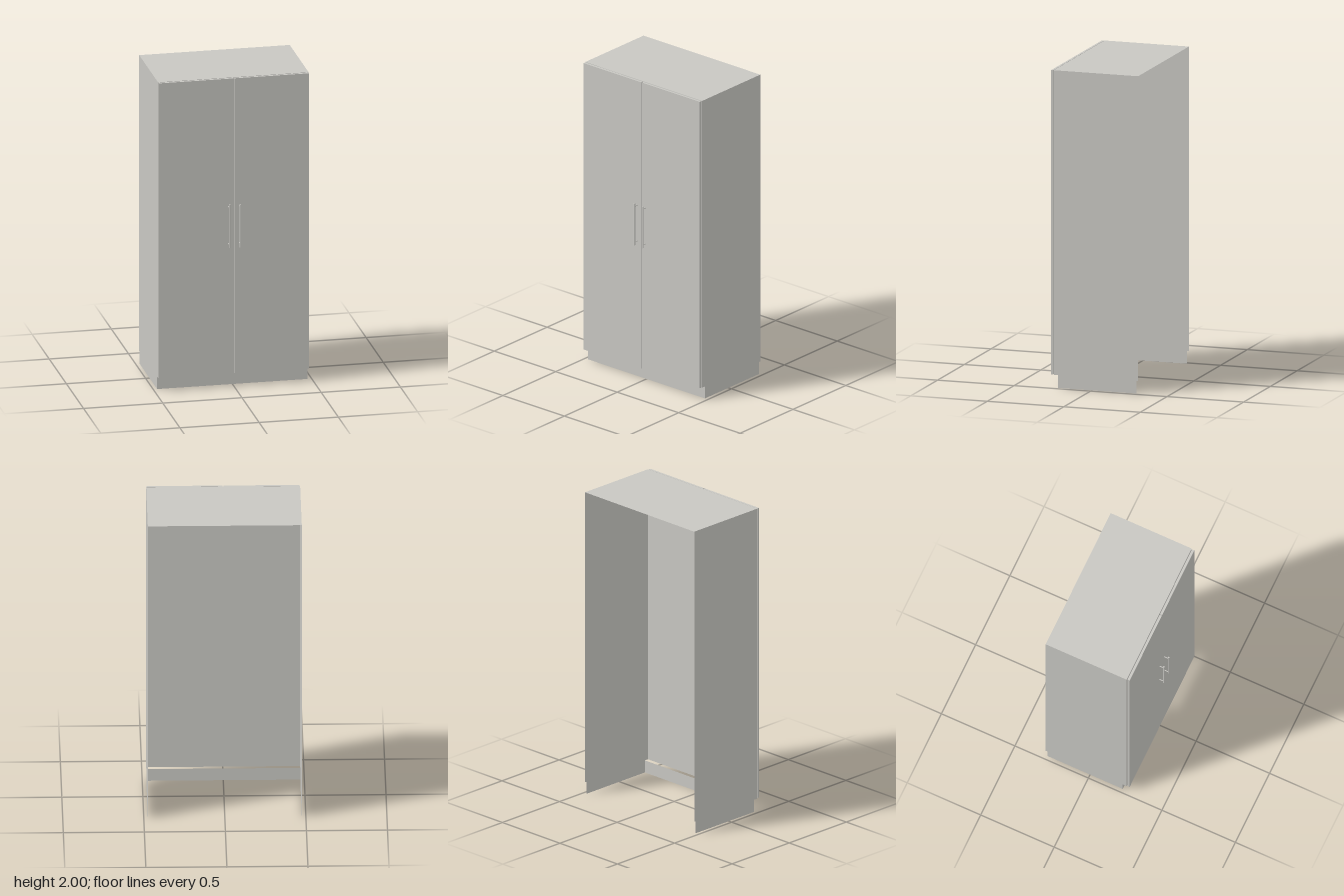
import * as THREE from 'three';

export function createModel() {
  const root = new THREE.Group();
  root.name = 'wardrobe';
  const grey = new THREE.MeshStandardMaterial({ color: 0xc8c7c2, side: THREE.DoubleSide });
  grey.name = 'warm grey';

  const add = (parent, name, geometry, x, y, z) => {
    const mesh = new THREE.Mesh(geometry, grey);
    mesh.name = name;
    mesh.position.set(x, y, z);
    parent.add(mesh);
    return mesh;
  };

  const halfW = 0.475;

  // Thin-walled shell, open at the back and below
  const addShell = (name, y0, y1, zBack, zFront) => {
    const shell = new THREE.Group();
    shell.name = name;
    const h = y1 - y0, d = zFront - zBack;
    const yMid = (y0 + y1) / 2, zMid = (zBack + zFront) / 2;
    add(shell, name + 'Front', new THREE.PlaneGeometry(2 * halfW, h), 0, yMid, zFront);
    for (const s of [1, -1]) {
      add(shell, name + (s > 0 ? 'LeftSide' : 'RightSide'),
        new THREE.PlaneGeometry(d, h).rotateY(s * Math.PI / 2), s * halfW, yMid, zMid);
    }
    root.add(shell);
    return shell;
  };

  // Cabinet body with its top, and the recessed plinth
  const body = addShell('body', 0.08, 2, -0.302, 0.249);
  add(body, 'top', new THREE.PlaneGeometry(2 * halfW, 0.551).rotateX(-Math.PI / 2), 0, 2, -0.0265);
  addShell('plinth', 0, 0.08, -0.29, 0.222);

  // Pair of doors with bar handles
  for (const s of [1, -1]) {
    const door = new THREE.Group();
    door.name = s > 0 ? 'leftDoor' : 'rightDoor';
    add(door, 'doorPanel', new THREE.BoxGeometry(0.469, 1.917, 0.015), s * 0.2375, 1.0405, 0.2605);

    const handle = new THREE.Group();
    handle.name = 'handle';
    const x = s * 0.034;
    add(handle, 'handleBar', new THREE.CylinderGeometry(0.005, 0.005, 0.28, 16), x, 1.05, 0.297);
    for (const y of [0.93, 1.17]) {
      add(handle, 'handlePost',
        new THREE.CylinderGeometry(0.003, 0.003, 0.029, 12).rotateX(Math.PI / 2), x, y, 0.2825);
    }
    door.add(handle);
    root.add(door);
  }

  return root;
}
